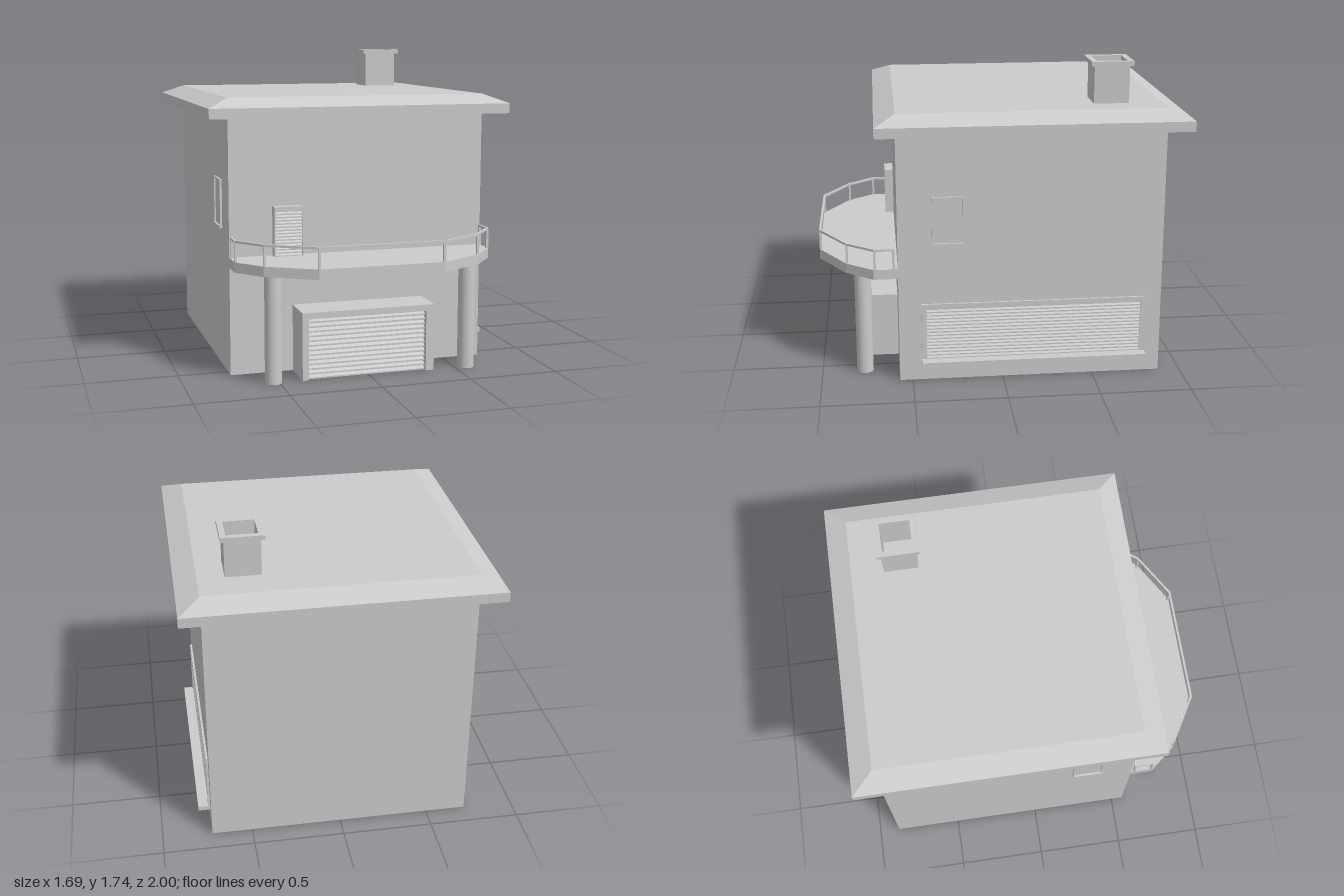
import * as THREE from 'three';

const material = new THREE.MeshStandardMaterial({ color: 0xcccccc, flatShading: true });
const smooth = new THREE.MeshStandardMaterial({ color: 0xcccccc });

function add(parent, name, geometry, mat = material) {
  const mesh = new THREE.Mesh(geometry, mat);
  mesh.name = name;
  parent.add(mesh);
  return mesh;
}

// Box given by its extents along each axis
function block(parent, name, x0, x1, y0, y1, z0, z1) {
  const mesh = add(parent, name, new THREE.BoxGeometry(x1 - x0, y1 - y0, z1 - z0));
  mesh.position.set((x0 + x1) / 2, (y0 + y1) / 2, (z0 + z1) / 2);
  return mesh;
}

function rectPath(PathType, x0, x1, y0, y1) {
  return new PathType([[x0, y0], [x1, y0], [x1, y1], [x0, y1]].map(p => new THREE.Vector2(...p)));
}

// Rectangle with a rectangular hole, extruded along +z
function frameGeometry(outer, inner, depth) {
  const shape = rectPath(THREE.Shape, ...outer);
  shape.holes.push(rectPath(THREE.Path, ...inner));
  return new THREE.ExtrudeGeometry(shape, { depth, bevelEnabled: false });
}

// Sawtooth panel of horizontal slats, centred on x, base at y = 0, facing +z
function louverGeometry(width, height, count, depth) {
  const shape = new THREE.Shape();
  const pitch = height / count;
  shape.moveTo(-0.006, 0);
  for (let i = 0; i < count; i++) {
    shape.lineTo(depth, i * pitch);
    shape.lineTo(depth, (i + 0.3) * pitch);
    shape.lineTo(0, (i + 0.7) * pitch);
    shape.lineTo(0, (i + 1) * pitch);
  }
  shape.lineTo(-0.006, height);
  const geometry = new THREE.ExtrudeGeometry(shape, { depth: width, bevelEnabled: false });
  return geometry.rotateY(-Math.PI / 2).translate(width / 2, 0, 0);
}

// Roof slab with a hipped upper edge
function createRoof(parent) {
  const rings = [
    [0.843, -1, 0.68, 1.4],
    [0.843, -1, 0.68, 1.455],
    [0.725, -0.88, 0.567, 1.505],
  ];
  const corners = rings.map(([x, z0, z1, y]) => [[-x, y, z1], [x, y, z1], [x, y, z0], [-x, y, z0]]);
  const positions = [];
  const quad = (a, b, c, d) => positions.push(...a, ...b, ...c, ...a, ...c, ...d);
  for (let r = 0; r < 2; r++) {
    for (let i = 0; i < 4; i++) {
      const j = (i + 1) % 4;
      quad(corners[r][i], corners[r][j], corners[r + 1][j], corners[r + 1][i]);
    }
  }
  quad(...corners[2]);
  quad(...corners[0].slice().reverse());
  const geometry = new THREE.BufferGeometry();
  geometry.setAttribute('position', new THREE.Float32BufferAttribute(positions, 3));
  geometry.computeVertexNormals();
  add(parent, 'roof', geometry);
}

// Hollow chimney with a projecting rim
function createChimney(parent) {
  const chimney = new THREE.Group();
  chimney.name = 'chimney';
  chimney.position.set(0.485, 1.5, -0.6);
  parent.add(chimney);
  const hole = [-0.083, 0.083, -0.083, 0.083];
  const ring = (name, r, y, h) => {
    const mesh = add(chimney, name, frameGeometry([-r, r, -r, r], hole, h));
    mesh.rotation.x = -Math.PI / 2;
    mesh.position.y = y;
  };
  ring('chimneyShaft', 0.096, 0, 0.21);
  ring('chimneyRim', 0.115, 0.21, 0.025);
}

// Balcony slab, railing and pillars
function createBalcony(parent) {
  const balcony = new THREE.Group();
  balcony.name = 'balcony';
  parent.add(balcony);
  const half = [[0.722, 0.56], [0.722, 0.7], [0.6, 0.85], [0.345, 1]];
  const outline = [...half, ...half.slice().reverse().map(([x, z]) => [-x, z])].map(p => new THREE.Vector2(...p));
  const slab = add(balcony, 'balconySlab', new THREE.ExtrudeGeometry(new THREE.Shape(outline), { depth: 0.055, bevelEnabled: false }));
  slab.rotation.x = Math.PI / 2;
  slab.position.y = 0.65;

  // Rail runs just inside the slab edge
  const t = 0.013;
  const path = outline.map(p => new THREE.Vector2(p.x * 0.991, p.y < 0.6 ? 0.592 : p.y - t / 2));
  path.forEach((p, i) => {
    const post = block(balcony, 'railPost', -t / 2, t / 2, 0.65, 0.765, -t / 2, t / 2);
    post.position.x = p.x;
    post.position.z = p.y;
    if (i === path.length - 1) return;
    const q = path[i + 1];
    const length = p.distanceTo(q);
    const rail = add(balcony, 'handrail', new THREE.BoxGeometry(length + 0.004, 0.012, t));
    rail.position.set((p.x + q.x) / 2, 0.759, (p.y + q.y) / 2);
    rail.rotation.y = -Math.atan2(q.y - p.y, q.x - p.x);
  });

  for (const x of [-0.531, 0.568]) {
    const pillar = add(balcony, 'pillar', new THREE.CylinderGeometry(0.046, 0.046, 0.6, 32), smooth);
    pillar.position.set(x, 0.3, 0.762);
  }
}

// Projecting porch with a slatted shutter
function createGarage(parent) {
  const garage = new THREE.Group();
  garage.name = 'garage';
  parent.add(garage);
  block(garage, 'garageLeftSide', 0.326, 0.373, 0, 0.37, 0.56, 0.78);
  block(garage, 'garageRightSide', -0.375, -0.34, 0, 0.37, 0.56, 0.78);
  block(garage, 'garageTop', -0.34, 0.326, 0.335, 0.37, 0.56, 0.78);
  block(garage, 'garageBack', -0.34, 0.326, 0, 0.335, 0.56, 0.735);
  add(garage, 'garageShutter', louverGeometry(0.666, 0.335, 13, 0.02)).position.set(-0.007, 0, 0.738);
}

// Slatted balcony door in a shallow box frame
function createDoor(parent) {
  const door = new THREE.Group();
  door.name = 'balconyDoor';
  door.position.set(-0.405, 0.65, 0.57);
  parent.add(door);
  add(door, 'doorFrame', frameGeometry([-0.081, 0.081, 0, 0.27], [-0.075, 0.075, 0.002, 0.245], 0.05));
  add(door, 'doorSlats', louverGeometry(0.15, 0.245, 14, 0.014)).position.z = 0.03;
}

// Small framed window with a sill on one side wall
function createWindow(parent, side) {
  const win = new THREE.Group();
  win.name = side > 0 ? 'leftWindow' : 'rightWindow';
  win.position.set(side * 0.724, 0.78, 0.298);
  win.rotation.y = side * Math.PI / 2;
  parent.add(win);
  add(win, 'windowFrame', frameGeometry([-0.087, 0.087, 0, 0.27], [-0.077, 0.077, 0.012, 0.26], 0.012));
  block(win, 'windowPane', -0.08, 0.08, 0.01, 0.262, -0.002, 0.004);
  block(win, 'windowSill', -0.087, 0.087, 0, 0.012, 0, 0.016);
}

// Long slatted vent with a ledge on the left wall
function createSideVent(parent) {
  const vent = new THREE.Group();
  vent.name = 'sideVent';
  vent.position.set(0.724, 0.1, -0.172);
  vent.rotation.y = Math.PI / 2;
  parent.add(vent);
  add(vent, 'ventFrame', frameGeometry([-0.621, 0.621, 0, 0.345], [-0.592, 0.592, 0.025, 0.315], 0.012));
  add(vent, 'ventSlats', louverGeometry(1.184, 0.29, 15, 0.009)).position.set(0, 0.025, 0.001);
  block(vent, 'ventLedge', -0.621, 0.621, 0, 0.025, 0, 0.067);
}

export function createModel() {
  const house = new THREE.Group();
  house.name = 'house';
  block(house, 'walls', -0.724, 0.724, 0, 1.41, -0.88, 0.57);
  createRoof(house);
  createChimney(house);
  createBalcony(house);
  createGarage(house);
  createDoor(house);
  createWindow(house, 1);
  createWindow(house, -1);
  createSideVent(house);
  return house;
}
